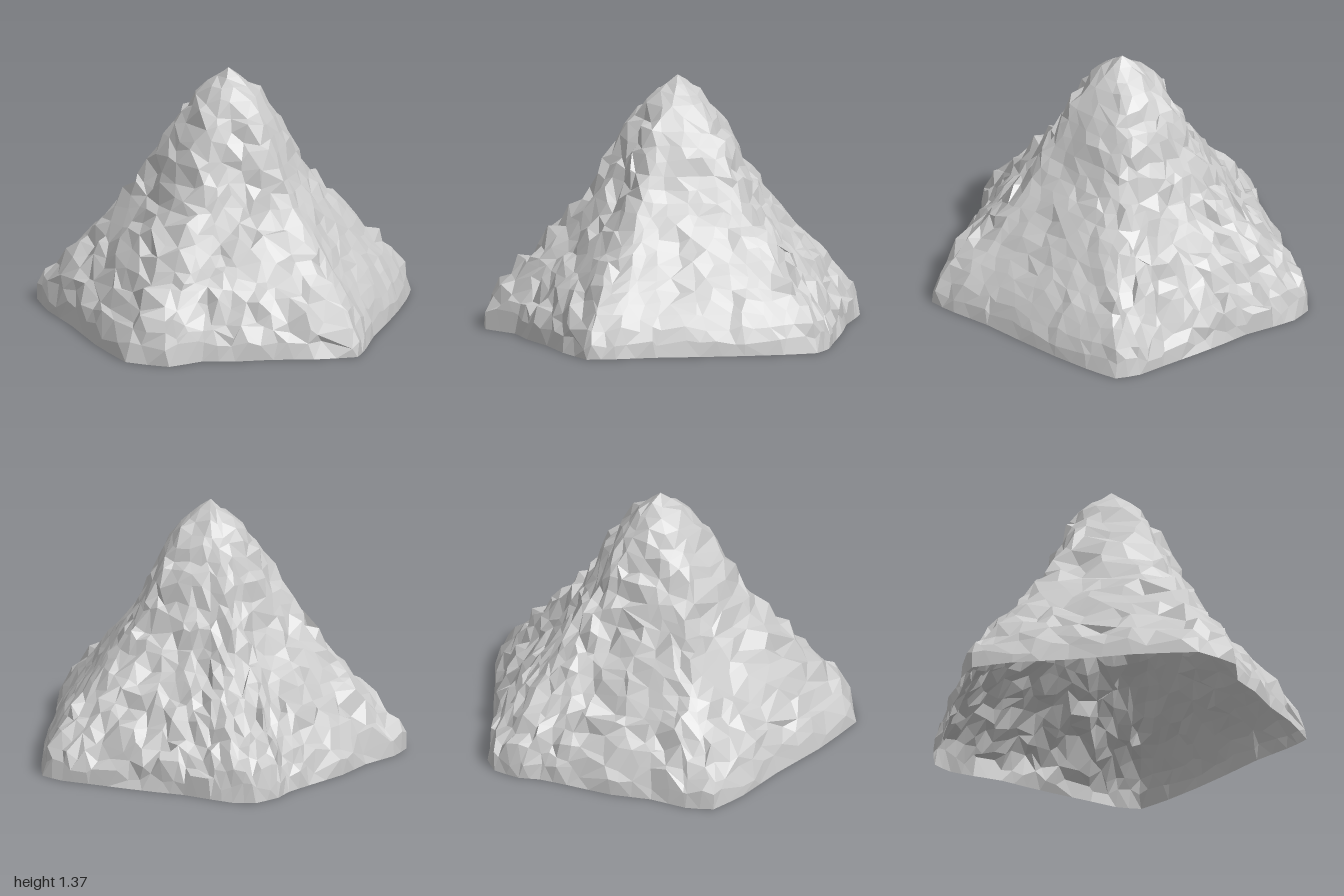
import * as THREE from 'three';

// Seeded random numbers
function makeRandom(seed) {
  return () => {
    seed = (seed * 1664525 + 1013904223) % 4294967296;
    return seed / 4294967296;
  };
}

const APEX_X = -0.09, APEX_Y = 1.365;

// Five-cornered footprint as x, z pairs, anticlockwise from above
const FOOTPRINT = [
  [0.25, -1], [0.1, -0.985], [0, -0.93], [-0.15, -0.89], [-0.4, -0.83], [-0.6, -0.74],
  [-0.8, -0.7], [-0.93, -0.62], [-0.96, -0.4], [-0.95, -0.1], [-0.965, 0.25], [-0.94, 0.6],
  [-0.76, 0.77], [-0.56, 0.75], [-0.4, 0.82], [-0.2, 0.87], [0, 0.95], [0.23, 1],
  [0.33, 0.88], [0.45, 0.7], [0.6, 0.52], [0.75, 0.33], [0.87, 0.16], [0.963, 0],
  [0.92, -0.13], [0.83, -0.25], [0.7, -0.43], [0.6, -0.56], [0.5, -0.68], [0.42, -0.82],
  [0.35, -0.93],
];

// Slope profile: share of the footprint left at each height
const PROFILE = [
  [1, 0], [0.975, 0.11], [0.9, 0.22], [0.75, 0.4], [0.58, 0.6], [0.425, 0.8],
  [0.345, 0.97], [0.27, 1.1], [0.185, 1.22], [0.095, 1.3], [0, APEX_Y],
];

function createRockGeometry() {
  const random = makeRandom(77);
  const spread = (amount) => (random() - 0.5) * 2 * amount;
  // Low tension keeps the footprint's corners crisp
  const outline = new THREE.CatmullRomCurve3(
    FOOTPRINT.map(([x, z]) => new THREE.Vector3(x, 0, z)), true, 'catmullrom', 0.12);
  const profile = new THREE.CatmullRomCurve3(
    PROFILE.map(([s, y]) => new THREE.Vector3(s, y, 0)), false, 'centripetal');

  const positions = [], indices = [], rings = [];
  const ringCount = 22;

  // Rings of scattered points, fewer towards the summit
  for (let r = 0; r < ringCount; r++) {
    const base = r === 0;
    const level = profile.getPointAt(r / ringCount);
    const count = base ? FOOTPRINT.length * 2 : Math.max(6, Math.round(78 * level.x));
    const ring = { start: positions.length / 3, u: [] };
    // The summit is less broken than the slopes
    const rough = Math.min(1, 0.25 + level.x * 1.8);
    for (let i = 0; i < count; i++) {
      const u = (i + (base ? 0 : (r % 2) * 0.5 + spread(0.33))) / count;
      const p = outline.getPoint(((u % 1) + 1) % 1);
      // The wide face between the front and left corners is calmer
      const calm = p.x > 0.27 && p.z > 0.05 ? 0.35 : 1;
      let s = level.x, y = level.y;
      if (!base) {
        const lump = 0.012 * Math.sin(u * 44 + y * 9) * Math.sin(y * 19 + u * 13);
        s = Math.min(1, s + (lump + spread(0.02)) * calm * rough);
        y += spread(0.032) * (calm + 0.2) * rough;
      }
      // Corners soften near the summit
      const dx = p.x - APEX_X, dist = Math.hypot(dx, p.z);
      const round = THREE.MathUtils.lerp(1, 0.95 / dist, 1.1 * Math.max(0, 0.6 - level.x));
      positions.push(APEX_X + dx * s * round, Math.max(0, y), p.z * s * round);
      ring.u.push(u);
    }
    rings.push(ring);
  }

  // Stitch neighbouring rings of different counts
  for (let r = 0; r < ringCount - 1; r++) {
    const low = rings[r], high = rings[r + 1];
    const n = low.u.length, m = high.u.length;
    const at = (ring, i) => ring.u[i % ring.u.length] + Math.floor(i / ring.u.length);
    const id = (ring, i) => ring.start + (i % ring.u.length);
    let i = 0, j = 0;
    while (i < n || j < m) {
      if (j >= m || (i < n && at(low, i + 1) <= at(high, j + 1))) {
        indices.push(id(low, i), id(low, i + 1), id(high, j));
        i++;
      } else {
        indices.push(id(low, i), id(high, j + 1), id(high, j));
        j++;
      }
    }
  }

  // Summit fan
  const top = rings[ringCount - 1], apex = positions.length / 3;
  positions.push(APEX_X, APEX_Y, 0);
  top.u.forEach((_, i) => {
    indices.push(top.start + i, top.start + ((i + 1) % top.u.length), apex);
  });

  const indexed = new THREE.BufferGeometry();
  indexed.setAttribute('position', new THREE.Float32BufferAttribute(positions, 3));
  indexed.setIndex(indices);
  const geometry = indexed.toNonIndexed();
  geometry.computeVertexNormals();
  return geometry;
}

export function createModel() {
  const group = new THREE.Group();
  group.name = 'mountain';

  // Hollow rock shell, open underneath
  const rock = new THREE.Mesh(createRockGeometry(), new THREE.MeshStandardMaterial({
    color: 0xcccccc, flatShading: true, side: THREE.DoubleSide,
  }));
  rock.name = 'rockSurface';
  group.add(rock);
  return group;
}
